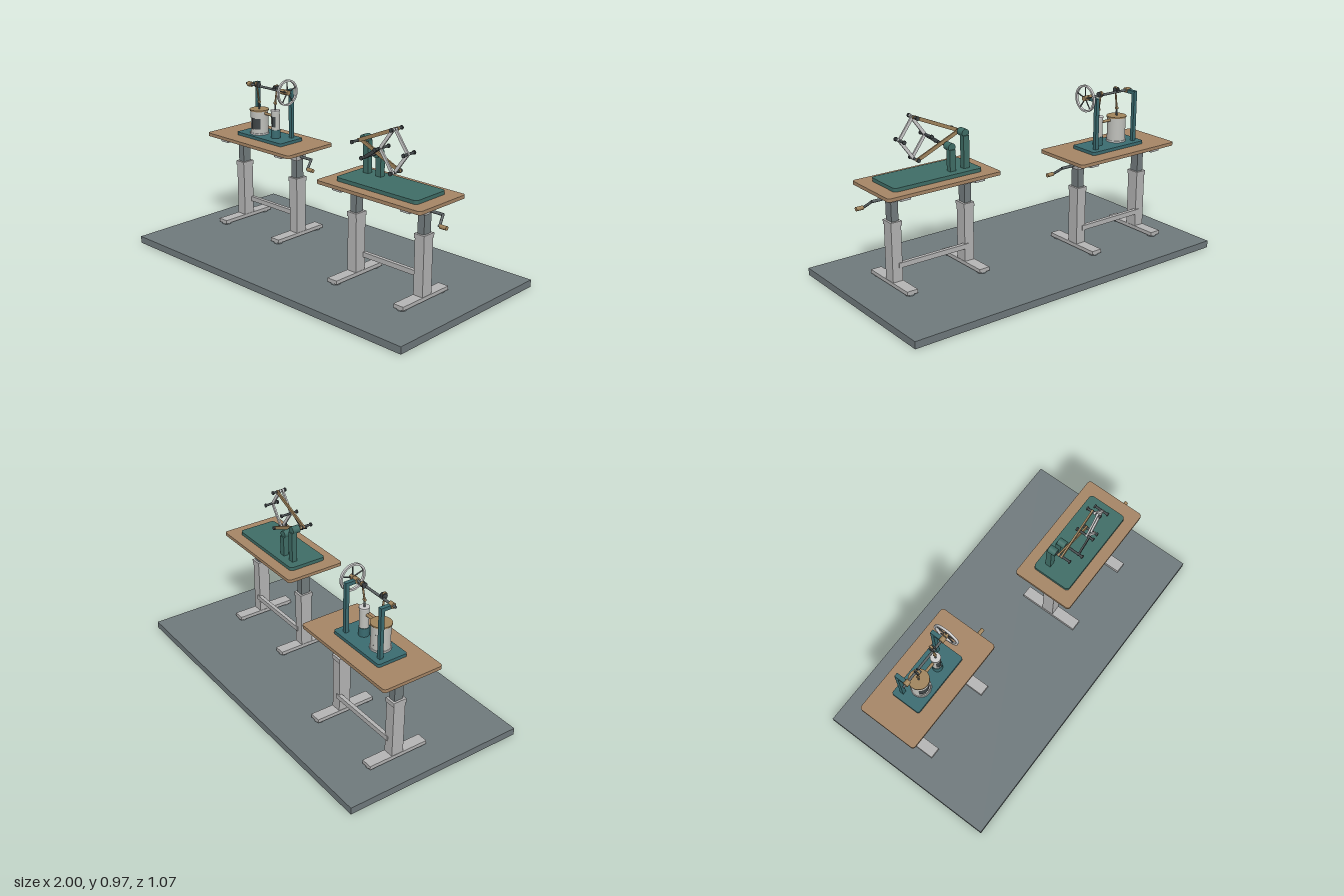
import * as THREE from 'three';

const mat = (color, side = THREE.FrontSide) => new THREE.MeshStandardMaterial({ color, side });
const M = {
  floor: mat(0x6f797c), wood: mat(0xa58565), steel: mat(0xb4b4b4), inner: mat(0x737c7e),
  teal: mat(0x3f6d66), blueTeal: mat(0x3a6b70), brass: mat(0xa0845c), dark: mat(0x3f4547),
  rod: mat(0x596061), light: mat(0xc0c2bf), shell: mat(0xbfc0bb, THREE.DoubleSide),
};

function add(parent, name, geometry, material, x = 0, y = 0, z = 0) {
  const mesh = new THREE.Mesh(geometry, material);
  mesh.name = name;
  mesh.position.set(x, y, z);
  parent.add(mesh);
  return mesh;
}

// Box given by its centre in x and z and its bottom and top in y
const box = (p, name, m, w, y0, y1, d, x = 0, z = 0) =>
  add(p, name, new THREE.BoxGeometry(w, y1 - y0, d), m, x, (y0 + y1) / 2, z);

// Upright cylinder
const drum = (p, name, m, r, y0, y1, x, z, seg = 32) =>
  add(p, name, new THREE.CylinderGeometry(r, r, y1 - y0, seg), m, x, (y0 + y1) / 2, z);

// Round bar between two points
function bar(p, name, m, r, a, b, seg = 16) {
  const A = new THREE.Vector3(...a), B = new THREE.Vector3(...b);
  const mesh = add(p, name, new THREE.CylinderGeometry(r, r, A.distanceTo(B), seg), m);
  mesh.position.copy(A).add(B).multiplyScalar(0.5);
  mesh.quaternion.setFromUnitVectors(new THREE.Vector3(0, 1, 0), B.sub(A).normalize());
  return mesh;
}

// Flat slab with rounded corners
function slab(p, name, m, w, d, r, y0, y1, x = 0, z = 0) {
  const s = new THREE.Shape(), a = w / 2 - r, b = d / 2 - r;
  s.absarc(a, b, r, 0, Math.PI / 2);
  s.absarc(-a, b, r, Math.PI / 2, Math.PI);
  s.absarc(-a, -b, r, Math.PI, Math.PI * 1.5);
  s.absarc(a, -b, r, Math.PI * 1.5, Math.PI * 2);
  const g = new THREE.ExtrudeGeometry(s, { depth: y1 - y0, bevelEnabled: false, curveSegments: 8 });
  g.rotateX(-Math.PI / 2);
  return add(p, name, g, m, x, y0, z);
}

// Flat link with round ends between two points in the xy plane
function link(p, name, m, a, b, width, z, thick = 0.009) {
  const L = Math.hypot(b[0] - a[0], b[1] - a[1]), r = width / 2;
  const s = new THREE.Shape();
  s.absarc(L, 0, r, -Math.PI / 2, Math.PI / 2);
  s.absarc(0, 0, r, Math.PI / 2, Math.PI * 1.5);
  const g = new THREE.ExtrudeGeometry(s, { depth: thick, bevelEnabled: false, curveSegments: 10 });
  const mesh = add(p, name, g, m, a[0], a[1], z - thick / 2);
  mesh.rotation.z = Math.atan2(b[1] - a[1], b[0] - a[0]);
}

// Height-adjustable table with a hand crank
function table(x, z) {
  const t = new THREE.Group();
  t.name = 'craneTable';
  t.name = 'crankTable';
  t.position.set(x, 0, z);
  const cz = -0.007;
  slab(t, 'tableTop', M.wood, 0.695, 0.358, 0.018, 0.574, 0.593);
  for (const s of [-1, 1]) {
    const lx = s * 0.228;
    box(t, 'foot', M.steel, 0.064, 0.049, 0.07, 0.36, lx);
    for (const k of [-1, 1]) drum(t, 'footPad', M.inner, 0.026, 0.04, 0.049, lx, k * 0.152, 20);
    box(t, 'outerColumn', M.steel, 0.06, 0.07, 0.4, 0.071, lx, cz);
    box(t, 'collar', M.steel, 0.066, 0.379, 0.404, 0.079, lx, cz);
    box(t, 'innerColumn', M.inner, 0.042, 0.4, 0.52, 0.054, lx, cz);
    box(t, 'gearHead', M.steel, 0.062, 0.512, 0.552, 0.072, lx, cz);
    box(t, 'supportArm', M.steel, 0.06, 0.551, 0.574, 0.297, lx);
  }
  box(t, 'stretcher', M.steel, 0.44, 0.145, 0.173, 0.022, 0, -0.037);
  bar(t, 'driveShaft', M.rod, 0.008, [-0.265, 0.53, cz], [0.345, 0.53, cz]);
  bar(t, 'crankArm', M.rod, 0.007, [0.342, 0.53, cz], [0.362, 0.489, cz + 0.051]);
  bar(t, 'crankPin', M.rod, 0.006, [0.355, 0.489, cz + 0.051], [0.38, 0.489, cz + 0.051]);
  bar(t, 'crankGrip', M.brass, 0.011, [0.366, 0.489, cz + 0.051], [0.407, 0.489, cz + 0.051]);
  return t;
}

// Cylinder shell with a viewing window cut into its front
function windowedCylinder(p, name, r, y0, w0, w1, y1, x, z, half) {
  const part = (a, b, start, len) => add(p, name,
    new THREE.CylinderGeometry(r, r, b - a, 40, 1, true, start, len), M.shell, x, (a + b) / 2, z);
  part(y0, w0, 0, Math.PI * 2);
  part(w0, w1, half, Math.PI * 2 - 2 * half);
  part(w1, y1, 0, Math.PI * 2);
  drum(p, name + 'Piston', M.dark, r * 0.86, w0 - 0.01, w1 + 0.004, x, z);
}

// Two-cylinder engine with an overhead crankshaft
function engine() {
  const e = new THREE.Group();
  e.name = 'engine';
  const ay = 0.894, az = -0.107;
  slab(e, 'engineBase', M.blueTeal, 0.375, 0.178, 0.012, 0.593, 0.611, -0.58, -0.12);
  for (const px of [-0.725, -0.442]) {
    box(e, 'post', M.blueTeal, 0.022, 0.611, 0.9, 0.021, px, -0.167);
    box(e, 'bearingArm', M.blueTeal, 0.022, 0.88, 0.9, 0.07, px, -0.135);
    bar(e, 'bearing', M.brass, 0.015, [px - 0.014, ay, az], [px + 0.014, ay, az], 24);
  }
  bar(e, 'crankshaft', M.rod, 0.007, [-0.755, ay, az], [-0.4, ay, az]);

  // Flywheel
  const wheel = new THREE.Group();
  wheel.name = 'flywheel';
  wheel.position.set(-0.411, ay, az);
  e.add(wheel);
  const rim = new THREE.Shape().absarc(0, 0, 0.0757, 0, Math.PI * 2);
  rim.holes.push(new THREE.Path().absarc(0, 0, 0.065, 0, Math.PI * 2, true));
  const rimGeo = new THREE.ExtrudeGeometry(rim, { depth: 0.013, bevelEnabled: false, curveSegments: 32 });
  rimGeo.translate(0, 0, -0.0065).rotateY(Math.PI / 2);
  add(wheel, 'rim', rimGeo, M.light);
  for (let i = 0; i < 5; i++) {
    const a = 0.32 + i * Math.PI * 0.4;
    bar(wheel, 'spoke', M.rod, 0.0035, [0, 0, 0], [0, Math.sin(a) * 0.068, -Math.cos(a) * 0.068], 10);
  }
  bar(wheel, 'hub', M.brass, 0.014, [-0.012, 0, 0], [0.012, 0, 0], 24);

  // Large cylinder
  drum(e, 'largeCylinderFoot', M.light, 0.056, 0.611, 0.62, -0.65, az);
  windowedCylinder(e, 'largeCylinder', 0.052, 0.611, 0.645, 0.709, 0.752, -0.65, az, 0.95);
  drum(e, 'largeCylinderLid', M.brass, 0.056, 0.75, 0.758, -0.65, az);

  // Small cylinder on its plinth
  drum(e, 'smallCylinderPlinth', M.blueTeal, 0.028, 0.611, 0.66, -0.512, az);
  windowedCylinder(e, 'smallCylinder', 0.025, 0.66, 0.678, 0.74, 0.772, -0.512, az, 0.8);
  drum(e, 'smallCylinderLid', M.light, 0.028, 0.768, 0.775, -0.512, az);
  bar(e, 'transferPipe', M.brass, 0.008, [-0.605, 0.738, az], [-0.53, 0.738, az]);

  // Crank throws, connecting rods and piston rods
  for (const [x, dz, jy] of [[-0.65, 0.016, 0.8], [-0.512, -0.016, 0.815]]) {
    const py = ay + 0.017, pz = az + dz;
    for (const k of [-1, 1])
      bar(e, 'crankWeb', M.dark, 0.008, [x + k * 0.009 - 0.003, (ay + py) / 2, az + dz / 2],
        [x + k * 0.009 + 0.003, (ay + py) / 2, az + dz / 2]).scale.set(2, 1, 2);
    bar(e, 'crankPin', M.rod, 0.006, [x - 0.012, py, pz], [x + 0.012, py, pz]);
    bar(e, 'rodBigEnd', M.brass, 0.011, [x - 0.005, py, pz], [x + 0.005, py, pz], 20);
    bar(e, 'connectingRod', M.brass, 0.005, [x, py, pz], [x, jy, az]);
    bar(e, 'rodSmallEnd', M.brass, 0.008, [x - 0.007, jy, az], [x + 0.007, jy, az], 20);
    bar(e, 'pistonRod', M.rod, 0.005, [x, 0.74, az], [x, jy, az]);
  }
  return e;
}

// Straight-line linkage: two long arms, a rhombus and a short crank
function linkage() {
  const g = new THREE.Group();
  g.name = 'linkage';
  const A = [0.315, 0.803], B = [0.402, 0.741], E = [0.492, 0.803];
  const T = [0.575, 0.915], L = [0.575, 0.691], R = [0.658, 0.803];
  slab(g, 'linkageBase', M.teal, 0.54, 0.23, 0.02, 0.593, 0.613, 0.516, 0.07);
  for (const P of [A, B]) {
    box(g, 'pivotPost', M.teal, 0.036, 0.613, P[1] - 0.012, 0.032, P[0], 0.015);
    bar(g, 'pivotBoss', M.teal, 0.022, [...P, 0.006], [...P, 0.053], 28);
  }
  for (const [P, z0, z1] of [[A, 0.05, 0.14], [B, 0.05, 0.164], [E, 0.053, 0.164],
    [T, 0.053, 0.141], [L, 0.053, 0.141], [R, 0.053, 0.141]]) {
    bar(g, 'pin', M.dark, 0.007, [...P, z0], [...P, z1]);
    for (const z of [z0, z1 - 0.007]) bar(g, 'pinCollar', M.dark, 0.011, [...P, z], [...P, z + 0.007], 20);
  }
  link(g, 'longArm', M.brass, A, T, 0.02, 0.086);
  link(g, 'longArm', M.brass, A, L, 0.02, 0.067);
  for (const P of [T, L]) {
    link(g, 'rhombusLink', M.light, E, P, 0.017, P === T ? 0.121 : 0.1205);
    link(g, 'rhombusLink', M.light, R, P, 0.017, P === T ? 0.104 : 0.1035);
  }
  link(g, 'shortCrank', M.dark, B, E, 0.018, 0.136);
  return g;
}

export function createModel() {
  const model = new THREE.Group();
  model.name = 'mechanismTables';
  box(model, 'floorSlab', M.floor, 2, 0, 0.04, 1.065);
  model.add(table(-0.58, -0.117), table(0.514, 0.07), engine(), linkage());
  return model;
}
